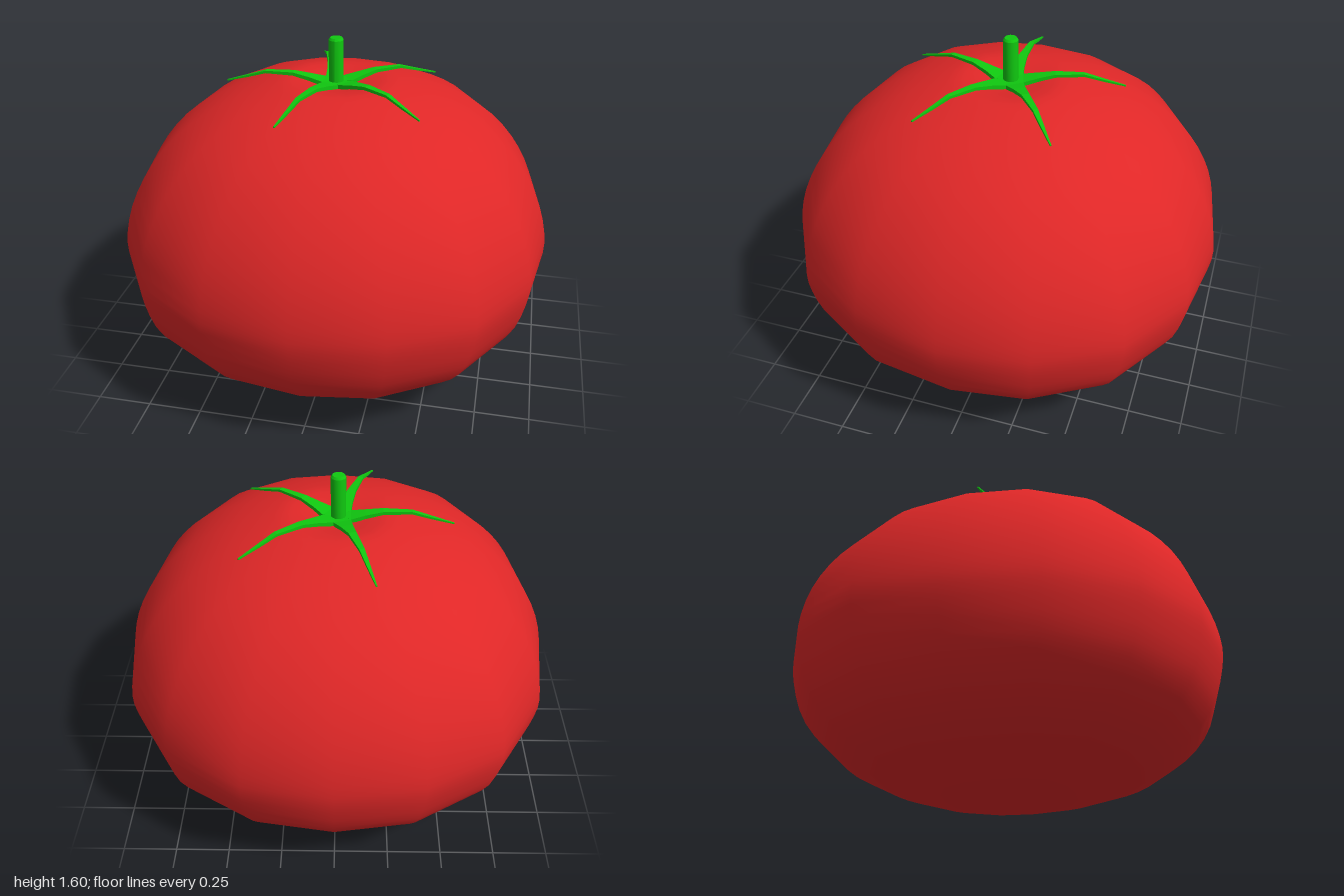
import * as THREE from 'three';
import { mergeVertices } from 'three/addons/utils/BufferGeometryUtils.js';

const red = new THREE.MeshStandardMaterial({ color: 0xdf2727 });
red.name = 'tomato red';
const green = new THREE.MeshStandardMaterial({ color: 0x10c810 });
green.name = 'stem green';

// Smooth sixteen-sided fruit, slightly squared in plan, with a shallow dimple on top
function fruitGeometry() {
  const profile = new THREE.SplineCurve([
    [0, 0.003], [0.18, 0.013], [0.39, 0.052], [0.63, 0.127], [0.8, 0.22], [0.93, 0.37],
    [0.99, 0.55], [0.997, 0.69], [0.95, 0.87], [0.85, 1.05], [0.7, 1.21], [0.5, 1.33],
    [0.28, 1.4], [0.18, 1.402], [0.09, 1.385], [0, 1.375],
  ].map(([r, y]) => new THREE.Vector2(r, y)));
  const points = profile.getPoints(40);
  points.forEach((p) => { p.x = Math.max(0, p.x); });
  points[0].x = points[40].x = 0;
  let geo = new THREE.LatheGeometry(points, 16);
  const pos = geo.attributes.position;
  for (let i = 0; i < pos.count; i++) {
    const x = pos.getX(i), z = pos.getZ(i);
    const s = 1 + 0.036 * Math.sin(2 * Math.atan2(z, x)) ** 2;
    pos.setX(i, x * s);
    pos.setZ(i, z * s);
  }
  geo.deleteAttribute('uv');
  geo.deleteAttribute('normal');
  geo = mergeVertices(geo, 1e-4);
  geo.computeVertexNormals();
  return geo;
}

// Tapering sepal along +x, built from box sections: [distance, half width, top y, thickness]
function sepalGeometry() {
  const sections = [
    [0, 0.001, 1.395, 0.02], [0.057, 0.041, 1.4, 0.02], [0.12, 0.028, 1.413, 0.018],
    [0.2, 0.018, 1.426, 0.015], [0.33, 0.012, 1.423, 0.012], [0.42, 0.008, 1.394, 0.01],
    [0.52, 0.003, 1.363, 0.006],
  ];
  const verts = [], index = [];
  sections.forEach(([x, w, y, t], i) => {
    verts.push(x, y, -w, x, y, w, x, y - t, w, x, y - t, -w);
    if (i === 0) return;
    for (let k = 0; k < 4; k++) {
      const a = (i - 1) * 4 + k, b = (i - 1) * 4 + (k + 1) % 4;
      index.push(a, b, b + 4, a, b + 4, a + 4);
    }
  });
  const e = (sections.length - 1) * 4;
  index.push(e, e + 1, e + 2, e, e + 2, e + 3);
  const geo = new THREE.BufferGeometry();
  geo.setAttribute('position', new THREE.Float32BufferAttribute(verts, 3));
  geo.setIndex(index);
  const flat = geo.toNonIndexed();
  flat.computeVertexNormals();
  return flat;
}

export function createModel() {
  const model = new THREE.Group();
  model.name = 'tomato';

  const fruit = new THREE.Mesh(fruitGeometry(), red);
  fruit.name = 'fruit';
  model.add(fruit);

  // Five sepals in a star, one pointing to -x
  const calyx = new THREE.Group();
  calyx.name = 'calyx';
  const sepalShape = sepalGeometry();
  for (let i = 0; i < 5; i++) {
    const sepal = new THREE.Mesh(sepalShape, green);
    sepal.name = 'sepal';
    sepal.rotation.y = Math.PI + (i * Math.PI * 2) / 5;
    calyx.add(sepal);
  }

  // Round stem with a small bevel at the top
  const stem = new THREE.Mesh(new THREE.LatheGeometry(
    [[0.034, 1.37], [0.034, 1.59], [0.034, 1.59], [0.027, 1.6], [0.027, 1.6], [0, 1.6]]
      .map(([r, y]) => new THREE.Vector2(r, y)), 16), green);
  stem.geometry.deleteAttribute('normal');
  stem.geometry.computeVertexNormals();
  stem.name = 'stem';
  calyx.add(stem);

  calyx.position.x = -0.008;
  model.add(calyx);
  return model;
}
